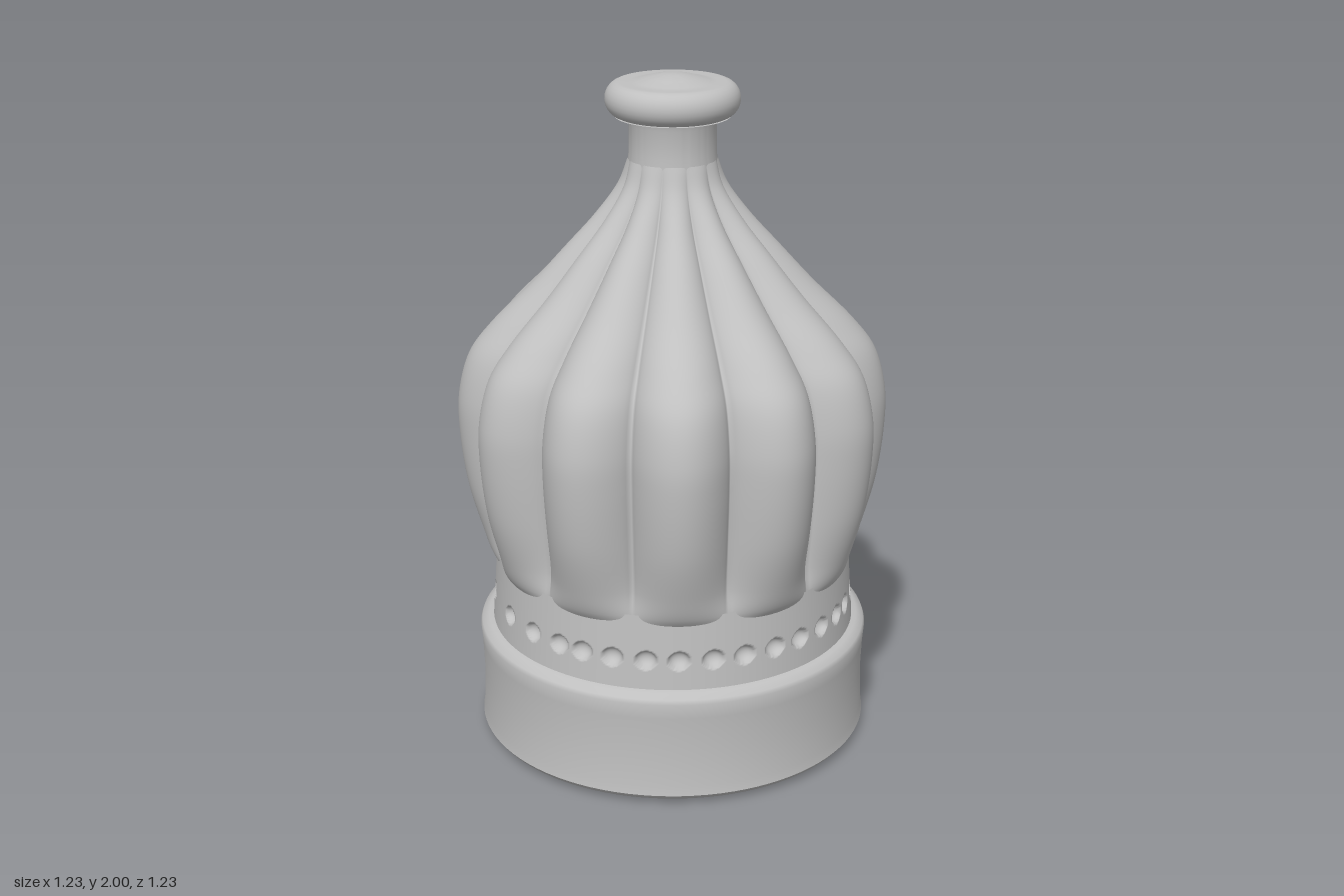
import * as THREE from 'three';
import { toCreasedNormals } from 'three/addons/utils/BufferGeometryUtils.js';

const LOBES = 12;

// Closed ring surface: rows of height y, radius given by radiusAt(row, angle)
function ringSurface(rows, segments, radiusAt) {
  const positions = [], index = [];
  rows.forEach((row) => {
    for (let i = 0; i < segments; i++) {
      const a = (i / segments) * Math.PI * 2;
      const r = radiusAt(row, a);
      positions.push(r * Math.cos(a), row.y, r * Math.sin(a));
    }
  });
  for (let j = 0; j < rows.length - 1; j++) {
    for (let i = 0; i < segments; i++) {
      const n = (i + 1) % segments;
      const a = j * segments + i, b = j * segments + n;
      const c = a + segments, d = b + segments;
      index.push(a, c, b, b, c, d);
    }
  }
  const geometry = new THREE.BufferGeometry();
  geometry.setAttribute('position', new THREE.Float32BufferAttribute(positions, 3));
  geometry.setIndex(index);
  geometry.computeVertexNormals();
  return geometry;
}

function lathe(points) {
  const geometry = new THREE.LatheGeometry(points.map(([r, y]) => new THREE.Vector2(r, y)), 96);
  return toCreasedNormals(geometry, 0.7);
}

export function createModel() {
  const group = new THREE.Group();
  const grey = new THREE.MeshStandardMaterial({ color: 0xc0c0c0 });
  grey.name = 'grey';
  const add = (name, geometry) => {
    const mesh = new THREE.Mesh(geometry, grey);
    mesh.name = name;
    group.add(mesh);
  };

  // Round base with a chamfered shoulder
  add('base', lathe([
    [0, 0], [0.4, 0.003], [0.55, 0.012], [0.575, 0.018], [0.586, 0.032], [0.582, 0.06],
    [0.578, 0.18], [0.582, 0.28], [0.586, 0.325], [0.581, 0.338], [0.56, 0.35], [0.54, 0.354],
  ]));

  // Band with a row of round dimples, mirrored in each quarter
  const quarter = [5, 15.5, 25.5, 36, 46, 54.5, 66, 80].map(THREE.MathUtils.degToRad);
  const dimples = quarter.flatMap((a) => [a, Math.PI - a, Math.PI + a, Math.PI * 2 - a]);
  const dimpleRows = Array.from({ length: 17 }, (_, i) => ({ y: 0.405 + i * 0.07 / 16 }));
  const bandRows = [{ y: 0.35 }, { y: 0.38 }, ...dimpleRows, { y: 0.51 }, { y: 0.575 }];
  add('dimpledBand', ringSurface(bandRows, 720, ({ y }, a) => {
    const r = THREE.MathUtils.mapLinear(y, 0.35, 0.575, 0.546, 0.53);
    // angles are measured from +z, the front
    const fromFront = (Math.PI / 2 - a + Math.PI * 4) % (Math.PI * 2);
    let depth = 0;
    for (const d of dimples) {
      const t = Math.hypot((fromFront - d) * r / 0.031, (y - 0.44) / 0.027);
      if (t < 1) depth = 0.025 * Math.sqrt(1 - t * t);
    }
    return r - depth;
  }));

  // Fluted body: x is the lobe crest radius, z the valley radius
  const profile = new THREE.CatmullRomCurve3([
    [0.525, 0.535, 0.52], [0.548, 0.57, 0.522], [0.572, 0.64, 0.512], [0.61, 0.78, 0.517],
    [0.63, 0.95, 0.526], [0.628, 1.06, 0.524], [0.596, 1.18, 0.495], [0.53, 1.27, 0.436],
    [0.41, 1.39, 0.342], [0.31, 1.5, 0.258], [0.22, 1.6, 0.186], [0.155, 1.69, 0.142],
    [0.128, 1.76, 0.126],
  ].map((p) => new THREE.Vector3(...p)));
  add('flutedBody', ringSurface(profile.getPoints(72), LOBES * 28, (row, a) => {
    const bulge = Math.pow(Math.abs(Math.sin(a * LOBES / 2)), 0.8);
    return row.z + (row.x - row.z) * bulge;
  }));

  // Neck and rounded knob with a low dome on top
  add('neck', lathe([[0.129, 1.74], [0.125, 1.78], [0.125, 1.86], [0.132, 1.885]]));
  const knob = [[0.11, 1.88], [0.165, 1.882]];
  for (let i = 0; i <= 12; i++) {
    const a = -Math.PI / 2 + (i / 12) * Math.PI;
    knob.push([0.15 + 0.042 * Math.cos(a), 1.93 + 0.048 * Math.sin(a)]);
  }
  knob.push([0.125, 1.976], [0.105, 1.979], [0.07, 1.99], [0.03, 1.998], [0, 2]);
  add('knob', lathe(knob));

  return group;
}
